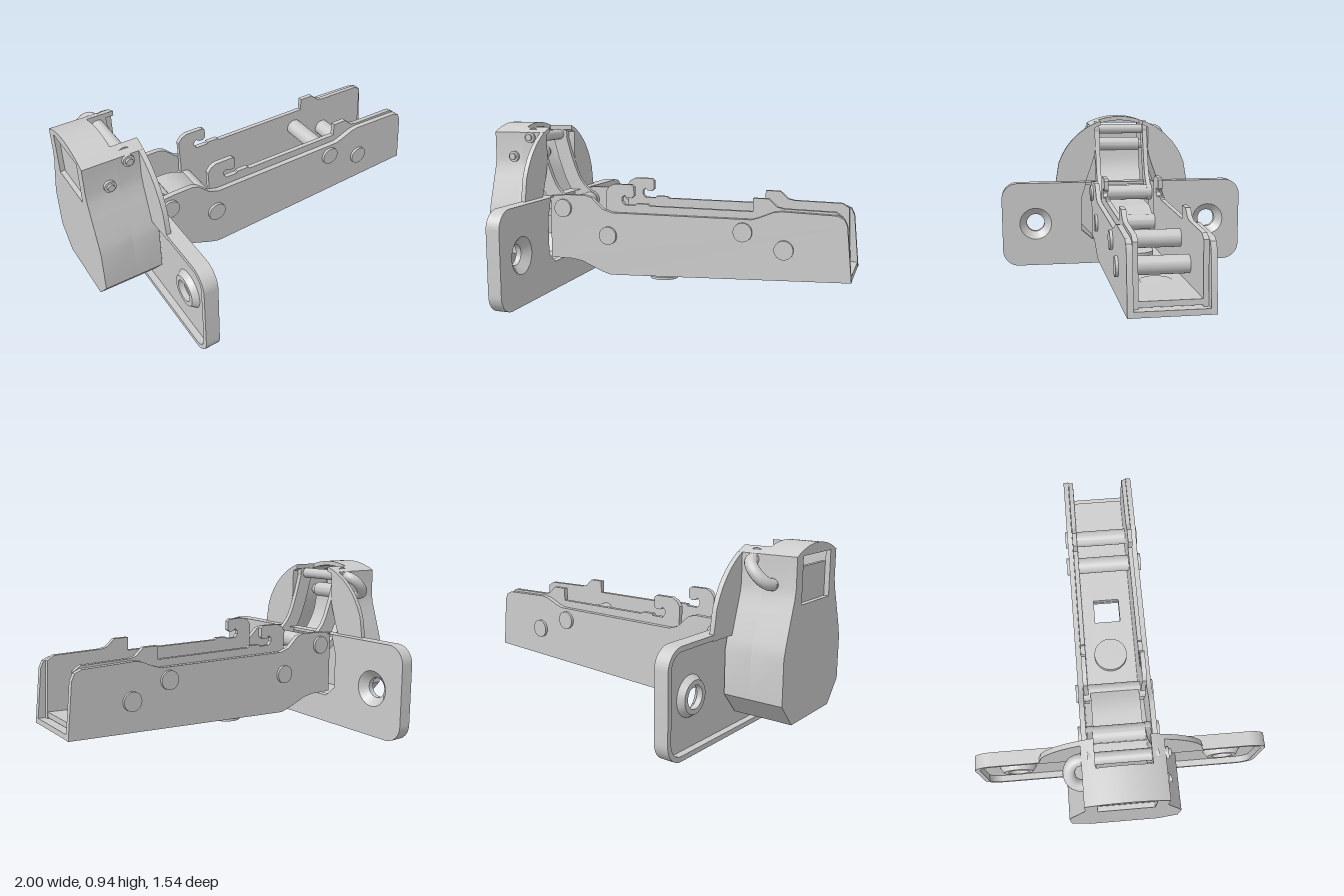
import * as THREE from 'three';
import { toCreasedNormals } from 'three/addons/utils/BufferGeometryUtils.js';

const mat = new THREE.MeshStandardMaterial({ color: 0xcccccc, side: THREE.DoubleSide });
const SLOT = 0.135; // half width of the slot in the cup's top
const rev = (pts) => [...pts].reverse();

export function createModel() {
  const root = new THREE.Group();
  const add = (name, geo) => {
    const m = new THREE.Mesh(toCreasedNormals(geo, 0.6), mat);
    m.name = name;
    root.add(m);
    return m;
  };
  const poly = (pts) => new THREE.Shape(pts.map(([x, y]) => new THREE.Vector2(x, y)));
  const circle = (x, y, r) => new THREE.Path().absarc(x, y, r, 0, Math.PI * 2);
  const extrude = (shape, depth) => new THREE.ExtrudeGeometry(shape, { depth, bevelEnabled: false, curveSegments: 20 });
  // profile in the side plane, from z0 to z1
  const alongZ = (name, shape, z0, z1) => add(name, extrude(shape, z1 - z0).translate(0, 0, z0));
  // profile in the (z, y) plane, from x0 to x1
  const alongX = (name, shape, x0, x1) => add(name, extrude(shape, x1 - x0).rotateY(Math.PI / 2).translate(x0, 0, 0));
  const rod = (name, x, y, r, z0, z1) =>
    add(name, new THREE.CylinderGeometry(r, r, z1 - z0, 32).rotateX(Math.PI / 2).translate(x, y, (z0 + z1) / 2));
  const bothSides = (name, shape, z0, z1) => {
    alongZ(name + 'Left', shape, z0, z1);
    alongZ(name + 'Right', shape, -z1, -z0);
  };
  const roundRect = (w, y0, y1, r) => {
    const s = new THREE.Shape();
    s.absarc(w - r, y0 + r, r, -Math.PI / 2, 0);
    s.absarc(w - r, y1 - r, r, 0, Math.PI / 2);
    s.absarc(-w + r, y1 - r, r, Math.PI / 2, Math.PI);
    s.absarc(-w + r, y0 + r, r, Math.PI, Math.PI * 1.5);
    return s;
  };
  // strip of even thickness along a smooth curve
  const strip = (pts, t) => {
    const c = new THREE.SplineCurve(pts.map(([x, y]) => new THREE.Vector2(x, y)));
    const side = (k) => Array.from({ length: 25 }, (_, i) => {
      const p = c.getPoint(i / 24), d = c.getTangent(i / 24);
      return [p.x - d.y * k, p.y + d.x * k];
    });
    return poly([...side(t / 2), ...rev(side(-t / 2))]);
  };

  // ---- cup: domed top, tapering sides, chamfered bottom ----
  const dome = (r, u0, u1) => Array.from({ length: 13 }, (_, i) => {
    const u = u0 + (u1 - u0) * i / 12;
    return [u, 0.505 + Math.sqrt(Math.max(0, r * r - u * u))];
  });
  const outer = (u0) => [...dome(0.43, u0, 0.2), [0.2, 0.74], [0.21, 0.69], [0.23, 0.63], [0.275, 0.49],
    [0.29, 0.43], [0.29, 0.21], [0.19, 0.095], [0, 0.095]];
  const inner = (u0) => [...dome(0.405, u0, 0.17), [0.17, 0.73], [0.18, 0.68], [0.2, 0.62], [0.255, 0.47],
    [0.268, 0.42], [0.268, 0.22], [0.18, 0.125], [0, 0.125]];
  const mirror = (pts) => pts.map(([u, v]) => [-u, v]);
  for (const [side, f] of [['Left', mirror], ['Right', (p) => p]]) {
    alongX('cupRearWall' + side, poly(f([...outer(0), ...rev(inner(0))])), -1, -0.83);
    alongX('cupFrontWall' + side, poly(f([...outer(SLOT), ...rev(inner(SLOT))])), -0.83, -0.69);
    // half-disc collar above the plate
    const collar = [...dome(0.43, SLOT, 0.43), [0.43, 0.5], [0.25, 0.5], ...rev(inner(SLOT).slice(0, 16))];
    alongX('collar' + side, poly(f(collar)), -0.715, -0.69);
  }
  const back = poly([...outer(0), ...rev(mirror(outer(0)))]);
  back.holes.push(poly([[-0.14, 0.66], [0.14, 0.66], [0.14, 0.885], [-0.14, 0.885]]));
  alongX('cupBack', back, -1, -0.975);
  alongX('cupBackCatch', poly([[-0.14, 0.64], [0.14, 0.64], [0.14, 0.83], [-0.14, 0.83]]), -0.975, -0.955);

  // ---- mounting plate: sheet with a rim behind it and countersunk holes ----
  const sheet = roundRect(0.77, 0, 0.53, 0.1);
  const low = [[0.235, 0.53], [0.268, 0.42], [0.268, 0.22], [0.2, 0.16]];
  // opening is a notch in the top edge, closed by a hair-thin bridge
  sheet.holes.push(poly([[0.235, 0.529], ...low.slice(1), ...rev(mirror(low.slice(1))), [-0.235, 0.529]]));
  for (const s of [-1, 1]) sheet.holes.push(circle(s * 0.56, 0.27, 0.1));
  alongX('plate', sheet, -0.68, -0.64);
  const rim = roundRect(0.77, 0, 0.53, 0.1);
  const rimLow = roundRect(0.745, 0.025, 0.505, 0.075);
  rim.holes.push(new THREE.Path(rimLow.getPoints(12)));
  alongX('plateRim', rim, -0.715, -0.68);
  for (const s of [-1, 1]) {
    const prof = [[0.1, 0], [0.056, -0.04], [0.056, -0.07], [0.08, -0.07], [0.1, -0.04]];
    add('screwHole', new THREE.LatheGeometry(prof.map(([r, h]) => new THREE.Vector2(r, h)), 40)
      .rotateZ(-Math.PI / 2).translate(-0.64, 0.27, s * 0.56));
  }

  // ---- bent cup pin: two legs joined by a loop on the right ----
  const A = [-0.88, 0.75], B = [-0.775, 0.858];
  for (const [x, y] of [A, B]) {
    rod('cupPinLeg', x, y, 0.03, -0.21, 0.215);
    rod('cupPinTip', x, y, 0.018, 0.215, 0.228);
  }
  const v = ([x, y], z) => new THREE.Vector3(x, y, z);
  add('cupPinLoop', new THREE.TubeGeometry(new THREE.CubicBezierCurve3(
    v(A, -0.2), v(A, -0.285), v(B, -0.285), v(B, -0.2)), 24, 0.03, 16));

  // ---- links between cup and arm ----
  const outerLink = strip([[-0.58, 0.47], [-0.67, 0.56], [-0.73, 0.7], [-0.775, 0.858]], 0.085);
  bothSides('outerLink', outerLink, 0.14, 0.168);
  for (const [x, y] of [[-0.58, 0.47], B]) {
    const eye = new THREE.Shape().absarc(x, y, 0.05, 0, Math.PI * 2);
    bothSides('outerLinkEye', eye, 0.14, 0.168);
  }
  alongZ('innerLink', strip([[-0.31, 0.345], [-0.42, 0.39], [-0.6, 0.395], [-0.75, 0.46], [-0.85, 0.6], [-0.88, 0.75]], 0.04), -0.135, 0.135);
  rod('innerLinkEye', ...A, 0.045, -0.135, 0.135);

  // ---- arm: outer channel ----
  bothSides('armSide', poly([[-0.66, 0.535], [-0.56, 0.545], [-0.45, 0.547], [-0.41, 0.535], [-0.345, 0.475], [-0.29, 0.457],
    [0.49, 0.462], [0.53, 0.475], [0.6, 0.505], [0.64, 0.512], [0.92, 0.505], [0.955, 0.49], [0.972, 0.455],
    [1, 0.17], [-0.3, 0.11], [-0.35, 0.125], [-0.47, 0.175], [-0.53, 0.185], [-0.66, 0.185]]), 0.172, 0.2);
  alongZ('armNeckFloor', poly([[-0.66, 0.185], [-0.53, 0.185], [-0.47, 0.175], [-0.35, 0.125], [-0.3, 0.11],
    [-0.3, 0.14], [-0.34, 0.153], [-0.46, 0.203], [-0.53, 0.213], [-0.66, 0.213]]), -0.175, 0.175);
  // floors follow the slope of the arm's underside
  const slope = Math.atan2(0.06, 1.3);
  const floor = (name, length, w, y, holes) => {
    const s = poly([[0, -w], [length, -w], [length, w], [0, w]]);
    s.holes.push(...holes);
    add(name, extrude(s, 0.028).rotateX(-Math.PI / 2).translate(0, y, 0).rotateZ(slope).translate(-0.3, 0.11, 0));
  };
  const windowHole = () => poly([[0.46, -0.075], [0.6, -0.075], [0.6, 0.075], [0.46, 0.075]]);
  floor('armFloor', 1.3, 0.175, 0, [windowHole(), circle(0.87, 0, 0.115)]);
  floor('innerFloor', 1.26, 0.15, 0.035, [windowHole()]);

  // ---- inner channel with hooked edges ----
  bothSides('innerSide', poly([[-0.33, 0.43], [-0.335, 0.57], [-0.315, 0.598], [-0.285, 0.612], [-0.185, 0.612], [-0.17, 0.6],
    [-0.17, 0.55], [-0.185, 0.538], [-0.21, 0.54], [-0.225, 0.553], [-0.24, 0.54], [-0.24, 0.52], [-0.225, 0.5],
    [-0.16, 0.5], [-0.155, 0.51], [-0.09, 0.51], [-0.08, 0.5], [0.49, 0.5], [0.49, 0.57], [0.57, 0.57],
    [0.615, 0.53], [0.65, 0.522], [0.91, 0.518], [0.945, 0.495], [0.96, 0.175], [-0.28, 0.13], [-0.34, 0.2]]), 0.145, 0.17);

  // ---- rivets across the arm ----
  for (const [x, y] of [[-0.58, 0.47], [-0.31, 0.33], [0.445, 0.395], [0.66, 0.315]]) {
    rod('rivetPin', x, y, 0.046, -0.2, 0.2);
    for (const s of [-1, 1]) rod('rivetHead', x, y, 0.05, s * 0.205 - 0.01, s * 0.205 + 0.01);
  }

  // ---- adjusting screw and cam on the underside ----
  const disc = (name, x, y0, y1, r) =>
    add(name, new THREE.CylinderGeometry(r, r, y1 - y0, 40).translate(x, (y0 + y1) / 2, 0));
  const crossDisc = (name, x, y0, h, r, a, b, turn) => {
    const s = new THREE.Shape().absarc(0, 0, r, 0, Math.PI * 2);
    s.holes.push(poly([[a, b], [b, b], [b, a], [-b, a], [-b, b], [-a, b], [-a, -b], [-b, -b], [-b, -a], [b, -a], [b, -b], [a, -b]]));
    add(name, extrude(s, h).rotateX(-Math.PI / 2).rotateY(turn).translate(x, y0, 0));
  };
  crossDisc('screwHead', -0.055, 0.07, 0.02, 0.078, 0.05, 0.012, 0.5);
  disc('screwFlange', -0.055, 0.086, 0.106, 0.092);
  disc('screwShank', -0.055, 0.1, 0.2, 0.06);
  disc('screwCollar', -0.055, 0.19, 0.22, 0.095);
  crossDisc('camFace', 0.57, 0.15, 0.025, 0.095, 0.055, 0.02, 0.3);
  disc('camBody', 0.57, 0.175, 0.215, 0.08);
  return root;
}
